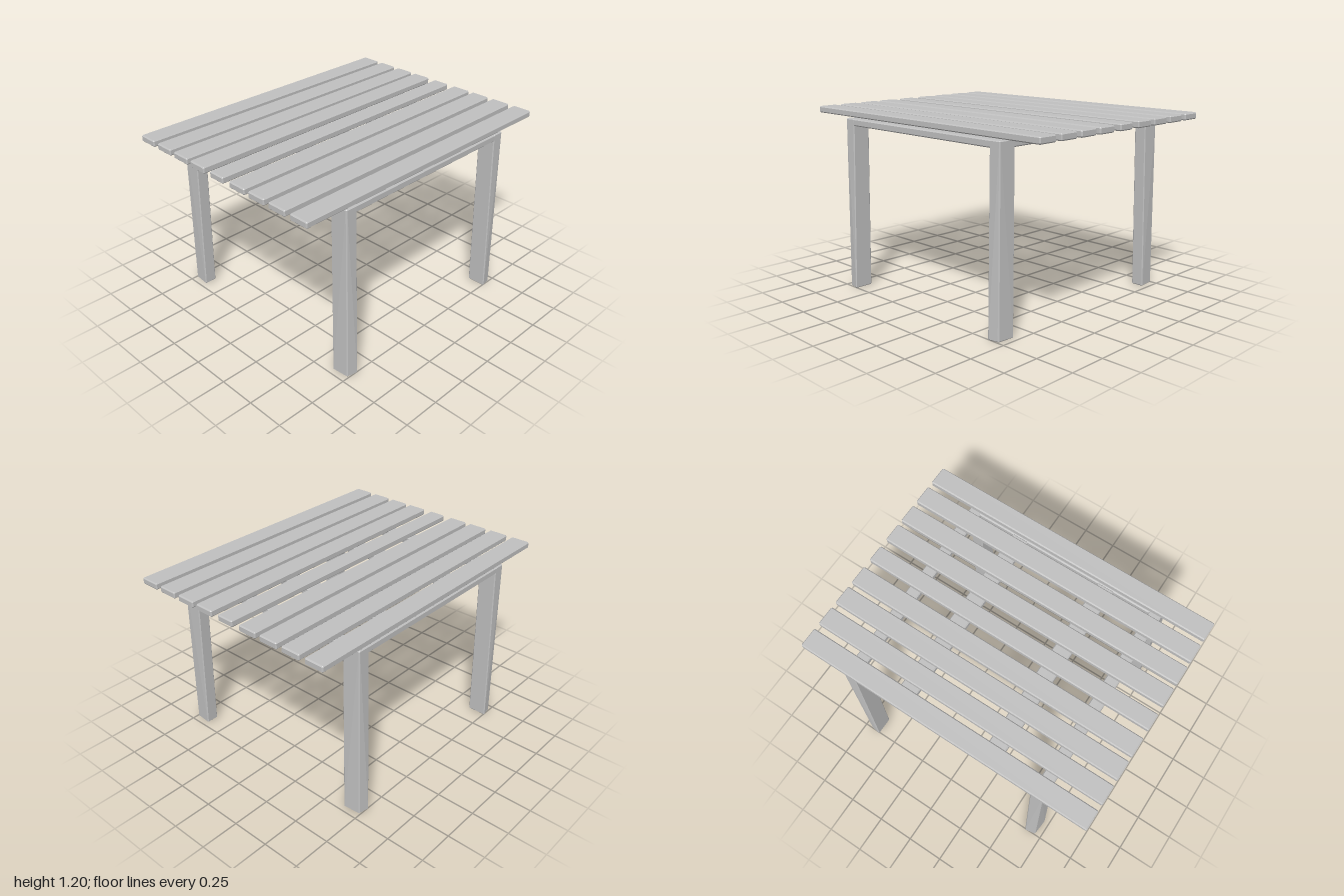
import * as THREE from 'three';
import { ConvexGeometry } from 'three/addons/geometries/ConvexGeometry.js';

// Six-sided block with chamfered edges; corner(sx, sy, sz) gives each corner for signs -1 / +1
function chamferedBlock(corner, bevel) {
  const points = [];
  const signs = [-1, 1];
  for (const x of signs) for (const y of signs) for (const z of signs) {
    const c = new THREE.Vector3(...corner(x, y, z));
    const edges = [corner(-x, y, z), corner(x, -y, z), corner(x, y, -z)]
      .map((n) => new THREE.Vector3(...n).sub(c).normalize().multiplyScalar(bevel));
    for (let i = 0; i < 3; i++) {
      points.push(c.clone().add(edges[i]).add(edges[(i + 1) % 3]));
    }
  }
  return new ConvexGeometry(points);
}

const plank = (x0, x1, y0, y1, z0, z1, bevel = 0.007) =>
  chamferedBlock((x, y, z) => [x < 0 ? x0 : x1, y < 0 ? y0 : y1, z < 0 ? z0 : z1], bevel);

export function createModel() {
  const group = new THREE.Group();
  const grey = new THREE.MeshStandardMaterial({ color: 0xc0c0c0 });
  grey.name = 'paintedGrey';

  const add = (name, geometry) => {
    const mesh = new THREE.Mesh(geometry, grey);
    mesh.name = name;
    group.add(mesh);
  };

  // Table top: nine slats, the middle one narrower
  const centres = [0.676, 0.507, 0.341, 0.179];
  const slats = [0, ...centres, ...centres.map((z) => -z)];
  for (const z of slats) {
    const half = z === 0 ? 0.058 : 0.065;
    add('topSlat', plank(-1, 1, 1.157, 1.2, z - half, z + half));
  }

  // Frame under the slats
  for (const s of [-1, 1]) {
    const sideX = 0.663 * s;
    const endZ = 0.67 * s;
    const beamX = 0.315 * s;
    add('sideRail', plank(sideX - 0.041, sideX + 0.041, 1.098, 1.144, -0.64, 0.64));
    add('longRail', plank(-0.66, 0.66, 1.098, 1.144, endZ - 0.06, endZ + 0.06));
    add('crossBeam', plank(beamX - 0.057, beamX + 0.057, 1.098, 1.144, -0.615, 0.615));
  }

  // Legs splay outward; the outermost bottom corner is drawn in slightly
  for (const mx of [-1, 1]) for (const mz of [-1, 1]) {
    add('leg', chamferedBlock((x, y, z) => {
      const outX = x * mx > 0;
      const outZ = z * mz > 0;
      let px = outX ? 0.704 : 0.622;
      let pz = outZ ? 0.73 : 0.61;
      if (y < 0) {
        px = outX ? (outZ ? 0.706 : 0.716) : 0.631;
        pz = outZ ? (outX ? 0.744 : 0.758) : 0.63;
      }
      return [px * mx, y < 0 ? 0 : 1.144, pz * mz];
    }, 0.006));
  }
  return group;
}
